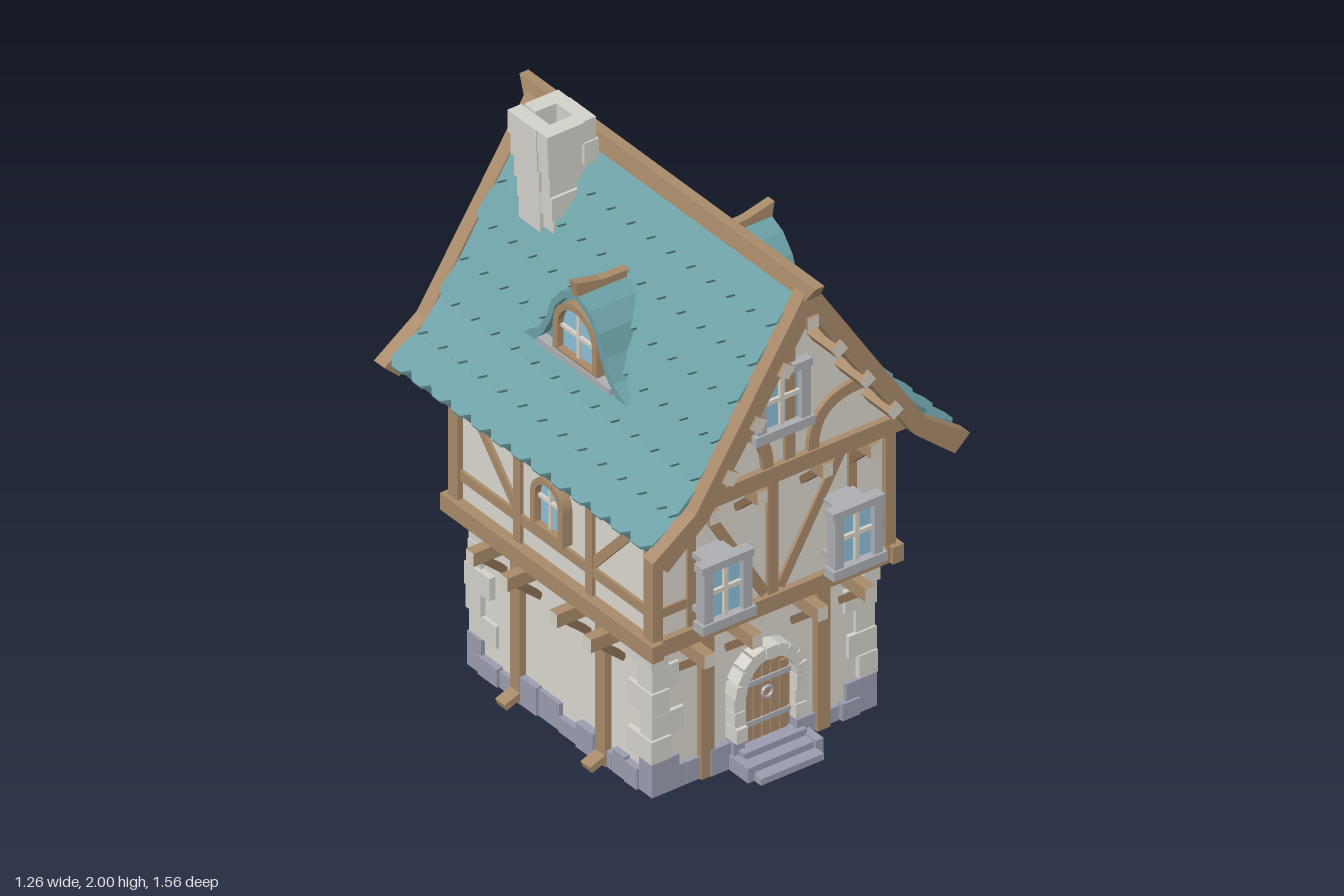
import * as THREE from 'three';

const mat = (color) => new THREE.MeshStandardMaterial({ color, flatShading: true });
const wood = mat(0xa88a6a), darkWood = mat(0x8a6d50), plaster = mat(0xdad6ce), pale = mat(0xd6d0c4);
const stone = mat(0xd2d0c9), baseStone = mat(0x9a9cae), grey = mat(0xabadb2), glass = mat(0x8cc0d8);
const teal = mat(0x6b9fa5), tealDark = mat(0x5a8990);
const joistMats = [wood, wood, wood, wood, pale, pale]; // pale end grain on the z faces

let seed = 7;
const rnd = (a, b) => { seed = (seed * 16807) % 2147483647; return a + (b - a) * seed / 2147483647; };

function add(parent, name, geo, material, x = 0, y = 0, z = 0) {
  const m = new THREE.Mesh(geo, material);
  m.name = name; m.position.set(x, y, z); parent.add(m);
  return m;
}
// box given by its ranges
const box = (p, name, x0, x1, y0, y1, z0, z1, m = wood) =>
  add(p, name, new THREE.BoxGeometry(x1 - x0, y1 - y0, z1 - z0), m, (x0 + x1) / 2, (y0 + y1) / 2, (z0 + z1) / 2);
// straight timber between two points
function bar(p, name, a, b, w, d, m = wood) {
  const A = new THREE.Vector3(...a), B = new THREE.Vector3(...b), dir = B.clone().sub(A);
  const mid = A.clone().add(B).multiplyScalar(0.5);
  const mesh = add(p, name, new THREE.BoxGeometry(w, dir.length(), d), m, mid.x, mid.y, mid.z);
  mesh.quaternion.setFromUnitVectors(new THREE.Vector3(0, 1, 0), dir.normalize());
  return mesh;
}
const poly = (pts) => new THREE.Shape(pts.map((q) => new THREE.Vector2(...q)));
const slab = (p, name, shape, z0, z1, m) =>
  add(p, name, new THREE.ExtrudeGeometry(shape, { depth: z1 - z0, bevelEnabled: false, curveSegments: 10 }), m, 0, 0, z0);
// flat curved strip of constant width
function band(p, name, curve, w, z0, z1, m) {
  const out = [], inn = [];
  for (let i = 0; i <= 10; i++) {
    const c = curve.getPoint(i / 10), t = curve.getTangent(i / 10);
    out.push([c.x - t.y * w / 2, c.y + t.x * w / 2]);
    inn.unshift([c.x + t.y * w / 2, c.y - t.x * w / 2]);
  }
  return slab(p, name, poly([...out, ...inn]), z0, z1, m);
}
function arch(hw, y0, ySpring) {
  const s = new THREE.Shape();
  s.moveTo(-hw, y0); s.lineTo(hw, y0); s.lineTo(hw, ySpring);
  s.absarc(0, ySpring, hw, 0, Math.PI); s.lineTo(-hw, y0);
  return s;
}
function archWindow(p, hw, y0, ys, z, t) {
  const frame = arch(hw, y0, ys); frame.holes.push(arch(hw - t, y0 + t, ys));
  slab(p, 'archedWindowFrame', frame, z - 0.02, z + 0.025, wood);
  slab(p, 'archedWindowGlass', arch(hw - t, y0 + t, ys), z - 0.02, z, glass);
  box(p, 'archedWindowMullion', -0.006, 0.006, y0 + t, ys + hw - t, z, z + 0.012, pale);
  box(p, 'archedWindowBar', -hw + t, hw - t, ys - 0.012, ys, z, z + 0.012, pale);
}
// four-pane casement with a thick frame and sill
function casement(p, cx, y0, y1, w, z0, z1) {
  const g = new THREE.Group(); g.name = 'window'; g.position.x = cx; p.add(g);
  const h = w / 2, t = 0.035;
  box(g, 'windowSill', -h - 0.012, h + 0.012, y0, y0 + t, z0, z1 + 0.008, grey);
  box(g, 'windowHead', -h - 0.008, h + 0.008, y1 - t * 0.8, y1, z0, z1, grey);
  for (const s of [-1, 1]) box(g, 'windowJamb', s * (h - t / 2) - t / 2, s * (h - t / 2) + t / 2, y0 + t, y1 - t * 0.8, z0, z1, grey);
  box(g, 'windowGlass', -h + t, h - t, y0 + t, y1 - t * 0.8, z0 + 0.005, z1 - 0.022, glass);
  box(g, 'windowMullion', -0.008, 0.008, y0 + t, y1 - t * 0.8, z1 - 0.025, z1 - 0.01, pale);
  const ym = (y0 + y1) / 2 + 0.01;
  box(g, 'windowBar', -h + t, h - t, ym - 0.008, ym + 0.008, z1 - 0.025, z1 - 0.01, pale);
  return g;
}
// joist ends carried on slanted braces
function joists(p, xs, y0, y1, zIn, zOut) {
  for (const x of xs) {
    box(p, 'joist', x - 0.02, x + 0.02, y0, y1, zIn - 0.03, zOut, joistMats);
    bar(p, 'joistBrace', [x, y0 - 0.075, zIn], [x, y0 + 0.01, zIn + (zOut - zIn) * 0.7], 0.03, 0.025, darkWood);
  }
}
function face(model, name, angle) {
  const g = new THREE.Group(); g.name = name; g.rotation.y = angle; model.add(g);
  return g;
}

function gableEnd(g, front) {
  box(g, 'lowerWall', -0.43, 0.43, 0, 0.6, 0.45, 0.47, plaster);
  box(g, 'upperWall', -0.47, 0.47, 0.58, 1.16, 0.5, 0.52, plaster);
  slab(g, 'gableWall', poly([[-0.45, 1.14], [0.45, 1.14], [0, 1.82]]), 0.59, 0.61, plaster);
  box(g, 'gableSoffit', -0.45, 0.45, 1.13, 1.15, 0.48, 0.61, plaster);
  box(g, 'sillBeam', -0.48, 0.48, 0.57, 0.63, 0.49, 0.545);
  box(g, 'gableBeam', -0.45, 0.45, 1.13, 1.19, 0.58, 0.635);
  box(g, 'middlePost', -0.02, 0.02, 0.63, 1.13, 0.51, 0.535);
  box(g, 'kingPost', -0.02, 0.02, 1.19, 1.8, 0.6, 0.625);
  for (const s of [-1, 1]) {
    box(g, 'lowerPost', s * 0.23 - 0.026, s * 0.23 + 0.026, 0, 0.57, 0.46, 0.495);
    box(g, 'cornerPost', s * 0.463 - 0.02, s * 0.463 + 0.02, 0.63, 1.15, 0.49, 0.54);
    box(g, 'studPost', s * 0.32 - 0.016, s * 0.32 + 0.016, 0.63, 1.13, 0.51, 0.53);
    box(g, 'shortRail', s * 0.39 - 0.06, s * 0.39 + 0.06, 0.705, 0.74, 0.51, 0.528);
    bar(g, 'diagonalBrace', [s * 0.03, 0.64, 0.518], [s * 0.305, 1.11, 0.518], 0.036, 0.028);
    band(g, 'curvedBrace', new THREE.QuadraticBezierCurve(new THREE.Vector2(s * 0.33, 1.365),
      new THREE.Vector2(s * 0.09, 1.39), new THREE.Vector2(s * 0.09, 1.19)), 0.042, 0.605, 0.628, wood);
    // bargeboard with kicked-out foot
    const pts = [[0, 1.92], [0.25, 1.535], [0.46, 1.215], [0.63, 1.095], [0.57, 1.04], [0.41, 1.175], [0, 1.79]];
    slab(g, 'bargeboard', poly(pts.map(([x, y]) => [s * x, y])), 0.68, 0.735, wood);
    for (const [x, y] of [[0.325, 1.305], [0.215, 1.465], [0.105, 1.625]])
      box(g, 'purlin', s * x - 0.024, s * x + 0.024, y - 0.024, y + 0.024, 0.59, 0.745, joistMats).rotation.z = -s * 0.98;
  }
  box(g, 'ridgePurlin', -0.022, 0.022, 1.745, 1.79, 0.59, 0.745, joistMats);
  joists(g, [-0.32, -0.13, 0.13, 0.32], 0.52, 0.57, 0.47, 0.622);
  joists(g, [-0.32, -0.13, 0.13, 0.32], 1.08, 1.13, 0.52, 0.65);
  if (front) {
    for (const x of [-0.26, 0.26]) {
      casement(g, x, 0.67, 0.92, 0.19, 0.598, 0.642);
      for (const y of [0.7, 0.9]) box(g, 'windowPeg', x - 0.06, x + 0.06, y - 0.01, y + 0.01, 0.51, 0.6, grey);
    }
    casement(g, -0.04, 1.305, 1.555, 0.21, 0.6, 0.645);
  } else {
    add(g, 'roundWindowFrame', new THREE.TorusGeometry(0.07, 0.017, 6, 18), wood, 0, 1.5, 0.625);
    add(g, 'roundWindowGlass', new THREE.CylinderGeometry(0.068, 0.068, 0.02, 18).rotateX(Math.PI / 2), glass, 0, 1.5, 0.622);
    box(g, 'roundWindowMullion', -0.006, 0.006, 1.435, 1.565, 0.625, 0.642, pale);
    box(g, 'roundWindowBar', -0.065, 0.065, 1.494, 1.506, 0.625, 0.642, pale);
  }
}

function sideWall(g, right) {
  box(g, 'lowerWall', -0.47, 0.47, 0, 0.6, 0.41, 0.43, plaster);
  box(g, 'upperWall', -0.52, 0.52, 0.58, 1.18, 0.44, 0.46, plaster);
  box(g, 'sillBeam', -0.56, 0.56, 0.57, 0.633, 0.455, 0.5);
  box(g, 'wallPlate', -0.53, 0.53, 1.1, 1.15, 0.44, 0.48);
  box(g, 'rail', -0.5, 0.5, 0.705, 0.742, 0.45, 0.472);
  for (const s of [-1, 1]) {
    box(g, 'studPost', s * 0.19 - 0.018, s * 0.19 + 0.018, 0.63, 1.12, 0.45, 0.475);
    bar(g, 'diagonalBrace', [s * 0.2, 0.75, 0.458], [s * 0.5, 1.08, 0.458], 0.035, 0.026);
    box(g, 'lowerPost', s * 0.225 - 0.026, s * 0.225 + 0.026, 0, 0.57, 0.42, 0.455);
    bar(g, 'postFoot', [s * 0.225, 0.035, 0.44], [s * 0.225, 0.008, 0.51], 0.05, 0.025);
  }
  joists(g, [-0.31, -0.13, 0.13, 0.31], 0.52, 0.57, 0.43, 0.57);
  if (right) casement(g, 0, 0.76, 1.03, 0.23, 0.46, 0.53);
  else archWindow(g, 0.085, 0.76, 0.89, 0.475, 0.024);
}

function roofSide(g) {
  const path = [[0, 1.87], [0.13, 1.68], [0.25, 1.495], [0.43, 1.225], [0.58, 1.1]];
  const curve = new THREE.CatmullRomCurve3(path.map(([x, y]) => new THREE.Vector3(x, y, 0)));
  slab(g, 'roofDeck', poly([...path, ...path.map(([x, y]) => [x - 0.015, y - 0.045]).reverse()]), -0.685, 0.685, tealDark);
  const n = 7, w = 0.105, half = 0.685;
  for (let i = 0; i < n; i++) {
    const a = curve.getPointAt(i / n), b = curve.getPointAt((i + 1) / n);
    const d = a.clone().sub(b).normalize();
    b.addScaledVector(new THREE.Vector3(d.y, -d.x, 0), 0.018);
    const up = a.clone().sub(b), len = up.length(); up.normalize();
    const normal = new THREE.Vector3(up.y, -up.x, 0);
    // one course of tiles with a scalloped lower edge
    const pts = [[-half, len + (i ? 0.02 : 0)]];
    for (let x = -half - (i % 2 ? w / 2 : 0); x < half; x += w)
      for (const [dx, v] of [[0, 0], [0.03, -0.026], [0.075, -0.026]])
        if (x + dx >= -half && x + dx <= half) pts.push([x + dx, v]);
    pts.push([half, 0], [half, len + (i ? 0.02 : 0)]);
    const row = slab(g, 'tileCourse', poly(pts), 0, 0.014, teal);
    row.matrix.makeBasis(new THREE.Vector3(0, 0, -1), up, normal).setPosition(b);
    row.matrix.decompose(row.position, row.quaternion, row.scale);
  }
}

function dormer(g) {
  // bell-shaped roof shell, from eave to crown
  const bell = [[0.27, 1.355], [0.2, 1.4], [0.155, 1.47], [0.125, 1.55], [0.075, 1.61], [0, 1.645]];
  const mirror = (p) => [...p, ...p.slice(0, -1).reverse().map(([x, y]) => [-x, y])];
  const inner = [[0.215, 1.355], [0.17, 1.4], [0.13, 1.47], [0.105, 1.54], [0.06, 1.59], [0, 1.62]];
  slab(g, 'dormerRoof', poly([...mirror(bell), ...mirror(inner).reverse()]), 0.1, 0.385, teal);
  slab(g, 'dormerFace', poly(mirror(inner)), 0.2, 0.355, teal);
  archWindow(g, 0.115, 1.365, 1.475, 0.362, 0.024);
  box(g, 'dormerSill', -0.19, 0.19, 1.355, 1.378, 0.34, 0.392, grey);
  const crest = poly([[0.12, 1.63], [0.3, 1.632], [0.385, 1.63], [0.395, 1.69], [0.29, 1.665], [0.12, 1.658]]);
  add(g, 'dormerRidge', new THREE.ExtrudeGeometry(crest, { depth: 0.034, bevelEnabled: false }).translate(0, 0, -0.017).rotateY(-Math.PI / 2), wood);
}

function entrance(g) {
  slab(g, 'door', arch(0.105, 0.05, 0.27), 0.465, 0.488, wood);
  for (const x of [-0.07, -0.035, 0, 0.035, 0.07]) box(g, 'doorPlank', x - 0.015, x + 0.015, 0.05, 0.365 - Math.abs(x) * 0.5, 0.48, 0.496);
  for (const y of [0.14, 0.29]) box(g, 'doorBand', -0.095, 0.095, y - 0.009, y + 0.009, 0.49, 0.502, grey);
  add(g, 'doorRing', new THREE.TorusGeometry(0.02, 0.006, 6, 12), grey, 0, 0.24, 0.502);
  for (const s of [-1, 1]) for (let i = 0; i < 4; i++)
    box(g, 'doorJambStone', s * 0.12 - 0.022, s * 0.12 + 0.022, 0.05 + i * 0.056, 0.103 + i * 0.056, 0.46, rnd(0.515, 0.532), i ? stone : baseStone);
  for (let i = 0; i < 9; i++) {
    const a = (i + 0.5) * Math.PI / 9;
    const m = add(g, 'archStone', new THREE.BoxGeometry(0.044, 0.044, rnd(0.055, 0.07)), stone, Math.cos(a) * 0.122, 0.27 + Math.sin(a) * 0.132, 0.495);
    m.rotation.z = a;
  }
  for (let i = 0; i < 3; i++) box(g, 'step', -0.125, 0.125, i * 0.024, 0.024 + i * 0.024, 0.46, 0.635 - i * 0.045, baseStone);
  for (const s of [-1, 1]) box(g, 'stepCurb', s * 0.135 - 0.015, s * 0.135 + 0.015, 0, 0.055, 0.46, 0.6, baseStone);
}

function masonry(model) {
  for (const sx of [-1, 1]) for (const sz of [-1, 1]) for (let i = 0; i < 6; i++) {
    // quoins: long and short faces alternate
    const y0 = i ? 0.13 + (i - 1) * 0.088 : 0, h = i ? 0.085 : 0.127;
    const lx = i % 2 ? rnd(0.06, 0.08) : rnd(0.1, 0.13), lz = i % 2 ? rnd(0.11, 0.15) : rnd(0.06, 0.08), o = rnd(-0.006, 0.008);
    add(model, 'quoin', new THREE.BoxGeometry(lx, h, lz), i ? stone : baseStone, sx * (0.447 + o - lx / 2), y0 + h / 2, sz * (0.487 + o - lz / 2));
  }
  for (let k = 0; k < 4; k++) {
    const g = face(model, 'plinth', k * Math.PI / 2), d = k % 2 ? 0.43 : 0.47, half = k % 2 ? 0.42 : 0.38;
    for (let x = -half; x < half - 0.03;) {
      const w = Math.min(rnd(0.06, 0.12), half - x);
      if (k || Math.abs(x + w / 2) > 0.15) box(g, 'plinthStone', x, x + w - 0.004, 0, rnd(0.05, 0.105), d - 0.03, d + rnd(0.012, 0.03), baseStone);
      x += w;
    }
  }
}

function chimney(model) {
  const g = new THREE.Group(); g.name = 'chimney'; g.position.set(-0.13, 0, -0.437); model.add(g);
  for (let i = 0; i < 6; i++) {
    // pinwheel of four stones around an open flue
    const y = 1.5 + i * 0.0835, h = i > 3 ? 0.1 : 0.078 + i * 0.004, t = 0.055;
    for (let k = 0; k < 4; k++) {
      const c = face(g, 'chimneyCourse', k * Math.PI / 2), e = h + rnd(-0.008, 0.004);
      c.position.x = -0.004 * (i - 2);
      box(c, 'chimneyStone', -e, e - t, y, y + 0.081, e - t, e + rnd(0, 0.006), stone);
    }
  }
}

export function createModel() {
  const model = new THREE.Group(); model.name = 'timberHouse';
  const front = face(model, 'front', 0);
  gableEnd(front, true);
  entrance(front);
  gableEnd(face(model, 'back', Math.PI), false);
  sideWall(face(model, 'leftSide', Math.PI / 2), true);
  sideWall(face(model, 'rightSide', -Math.PI / 2), false);
  for (const a of [0, Math.PI]) {
    roofSide(face(model, 'roofSlope', a));
    dormer(face(model, 'dormer', a + Math.PI / 2));
  }
  box(model, 'upperFloor', -0.47, 0.47, 0.575, 0.59, -0.51, 0.51, plaster);
  // ridge beam, wider at its foot and longer at its top
  const ridge = box(model, 'ridgeBeam', -0.03, 0.03, 1.86, 1.92, -0.78, 0.78);
  const p = ridge.geometry.attributes.position;
  for (let i = 0; i < p.count; i++)
    if (p.getY(i) > 0) p.setX(i, p.getX(i) * 0.6); else p.setZ(i, p.getZ(i) * 0.95);
  ridge.geometry.computeVertexNormals();
  masonry(model);
  chimney(model);
  return model;
}
